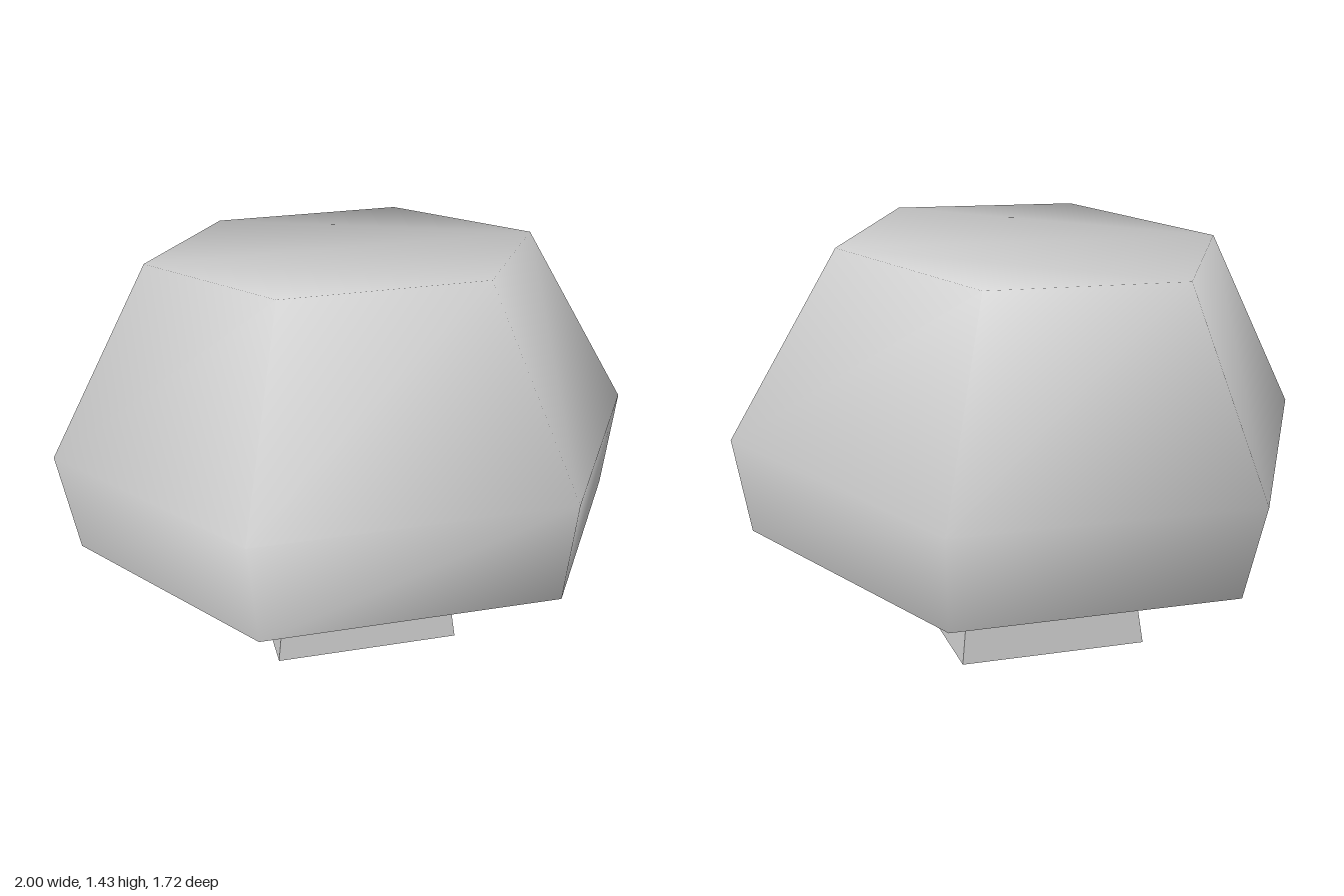
import * as THREE from 'three';

const SIDES = 6;

// Hexagonal ring of points, with corners on the x axis
function ring(radius, y) {
  return Array.from({ length: SIDES }, (_, i) => {
    const a = (i / SIDES) * Math.PI * 2;
    return [Math.cos(a) * radius, y, -Math.sin(a) * radius];
  });
}

function geometryFrom(points, index) {
  const g = new THREE.BufferGeometry();
  g.setAttribute('position', new THREE.Float32BufferAttribute(points.flat(), 3));
  g.setIndex(index);
  g.computeVertexNormals();
  return g;
}

export function createModel() {
  const grey = new THREE.MeshStandardMaterial({ color: 0xcccccc });
  grey.name = 'plain grey';
  const group = new THREE.Group();

  // Cap: three hexagonal rings, tilted so the front is higher
  const cap = new THREE.Group();
  cap.name = 'cap';
  cap.position.y = 0.7325;
  cap.rotation.x = -Math.atan(0.13);
  group.add(cap);

  // Smooth dome: two bands of sides and the top face share their normals
  const rings = [ring(0.94, -0.33), ring(1, 0), ring(0.652, 0.625)];
  const index = [];
  for (let r = 0; r < 2; r++) {
    for (let i = 0; i < SIDES; i++) {
      const a = r * SIDES + i;
      const b = r * SIDES + ((i + 1) % SIDES);
      index.push(a, b, b + SIDES, a, b + SIDES, a + SIDES);
    }
  }
  const face = [0, 1, 2, 0, 2, 3, 0, 3, 5, 3, 4, 5];
  index.push(...face.map((i) => i + 2 * SIDES));
  const dome = new THREE.Mesh(geometryFrom(rings.flat(), index), grey);
  dome.name = 'capDome';

  // Flat underside with a hard edge
  const underside = new THREE.Mesh(geometryFrom(rings[0], [...face].reverse()), grey);
  underside.name = 'capUnderside';
  cap.add(dome, underside);

  // Square stem, tapering upward into the cap
  const stemGeometry = new THREE.CylinderGeometry(0.257 * Math.SQRT2, 0.318 * Math.SQRT2, 0.5, 4)
    .rotateY(Math.PI / 4)
    .toNonIndexed();
  stemGeometry.computeVertexNormals();
  const stem = new THREE.Mesh(stemGeometry, grey);
  stem.name = 'stem';
  stem.position.set(0, 0.25, -0.017);
  group.add(stem);

  return group;
}
